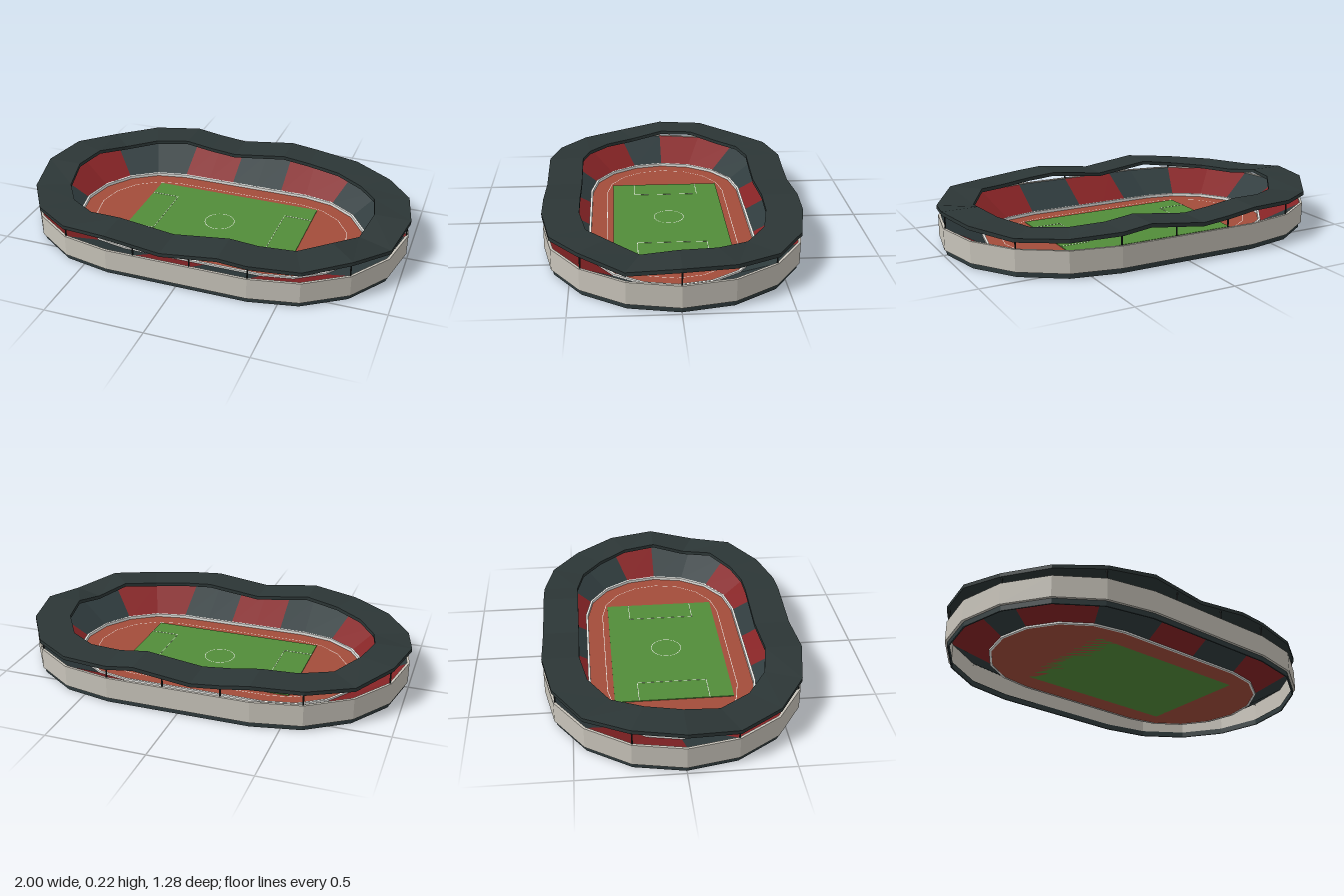
import * as THREE from 'three';

const paint = (name, color, side = THREE.FrontSide) => {
  const m = new THREE.MeshStandardMaterial({ color, side });
  m.name = name;
  return m;
};

const HALF = 0.36;          // half length of the straights
const ARC = 8, STRAIGHT = 5; // segments per end and per straight
const COUNT = 2 * (ARC + STRAIGHT);

// Point i of the oval at radius r: right end, front straight, left end, back straight
function oval(i, r) {
  i = (i + COUNT) % COUNT;
  const half = ARC + STRAIGHT, sign = i < half ? 1 : -1, k = i % half;
  if (k <= ARC) {
    const a = -Math.PI / 2 + (k / ARC) * Math.PI;
    return [sign * (HALF + r * Math.cos(a)), sign * r * Math.sin(a)];
  }
  return [sign * HALF * (1 - (2 * (k - ARC)) / STRAIGHT), sign * r];
}

// Sweep a profile of [radius, height] points round the oval, with an optional lift per point
function sweep(name, profile, material, { only = () => true, lift = () => 0 } = {}) {
  const pos = [];
  const at = (i, [r, y]) => {
    const [x, z] = oval(i, r);
    return [x, y + lift(i % COUNT), z];
  };
  for (let i = 0; i < COUNT; i++) {
    if (!only(i)) continue;
    for (let p = 0; p < profile.length - 1; p++) {
      const a = at(i, profile[p]), b = at(i, profile[p + 1]);
      const c = at(i + 1, profile[p]), d = at(i + 1, profile[p + 1]);
      pos.push(...a, ...b, ...c, ...c, ...b, ...d);
    }
  }
  const g = new THREE.BufferGeometry();
  g.setAttribute('position', new THREE.Float32BufferAttribute(pos, 3));
  g.computeVertexNormals();
  const mesh = new THREE.Mesh(g, material);
  mesh.name = name;
  return mesh;
}

// Closed rectangular profile, wound so that faces point outwards
const box = (r0, r1, y0, y1) => [[r1, y0], [r1, y1], [r0, y1], [r0, y0], [r1, y0]];

export function createModel() {
  const model = new THREE.Group();
  const roofMat = paint('roof slate', 0x2c3636);
  const wallMat = paint('concrete', 0xc8c4ba);
  const redMat = paint('red seats', 0x852325, THREE.DoubleSide);
  const darkMat = paint('dark seats', 0x2f3b3d, THREE.DoubleSide);
  const trackMat = paint('track clay', 0xa34c3a, THREE.DoubleSide);
  const grassMat = paint('grass', 0x528c39);
  const whiteMat = paint('white', 0xf2f2ee);
  const postMat = paint('post black', 0x1e2424);

  // Running track
  const outline = new THREE.Shape(
    Array.from({ length: COUNT }, (_, i) => new THREE.Vector2(...oval(i, 0.42))));
  const track = new THREE.Mesh(new THREE.ShapeGeometry(outline), trackMat);
  track.geometry.rotateX(-Math.PI / 2);
  track.position.y = 0.008;
  track.name = 'track';
  model.add(track);
  model.add(sweep('trackLine', [[0.328, 0.0095], [0.325, 0.0095]], whiteMat));

  // Pitch and its markings
  const slab = (name, mat, w, h, d, x, y, z) => {
    const m = new THREE.Mesh(new THREE.BoxGeometry(w, h, d), mat);
    m.position.set(x, y, z);
    m.name = name;
    model.add(m);
  };
  slab('pitch', grassMat, 0.92, 0.004, 0.59, 0, 0.01, 0);
  for (const sx of [-1, 1]) {
    for (const sz of [-1, 1]) {
      slab('penaltyLine', whiteMat, 0.15, 0.001, 0.003, sx * 0.385, 0.0128, sz * 0.175);
    }
    slab('penaltyFront', whiteMat, 0.002, 0.001, 0.35, sx * 0.31, 0.0128, 0);
  }
  const circle = new THREE.Mesh(new THREE.RingGeometry(0.077, 0.08, 32), whiteMat);
  circle.rotation.x = -Math.PI / 2;
  circle.position.y = 0.0133;
  circle.name = 'centreCircle';
  model.add(circle);

  // Barrier round the track
  model.add(sweep('barrier', box(0.408, 0.42, 0.006, 0.024), whiteMat));

  // Sloping stands in red and dark blocks
  const red = new Set([25, 0, 3, 6, 7, 10, 11, 14, 15, 17, 18, 21, 22]);
  const slope = [[0.622, 0.13], [0.42, 0.015]];
  model.add(sweep('redStands', slope, redMat, { only: i => red.has(i) }));
  model.add(sweep('darkStands', slope, darkMat, { only: i => !red.has(i) }));

  // Recessed base and outer wall
  model.add(sweep('base', box(0.615, 0.622, 0, 0.03), darkMat));
  model.add(sweep('outerWall', box(0.622, 0.635, 0.027, 0.135), wallMat));

  // Wavy roof
  const wave = [0.5, 0.2, 0.1, 0.7, 1, 0, 0.9, 0.4, 0.7, 1, 0.5, 0, 0.5,
    1, 0.4, 0.1, 0, 0.9, 1, 0.3, 0.7, 1, 0.4, 0, 0.5, 1];
  const lift = i => 0.036 * wave[i];
  model.add(sweep('roof', box(0.457, 0.64, 0.165, 0.184), roofMat, { lift }));

  // Roof posts
  for (let i = 0; i < COUNT; i += 2) {
    const [x, z] = oval(i, 0.625);
    const top = 0.17 + lift(i), bottom = 0.12;
    const post = new THREE.Mesh(new THREE.CylinderGeometry(0.004, 0.004, top - bottom, 6), postMat);
    post.position.set(x, (top + bottom) / 2, z);
    post.name = 'roofPost';
    model.add(post);
  }
  return model;
}
